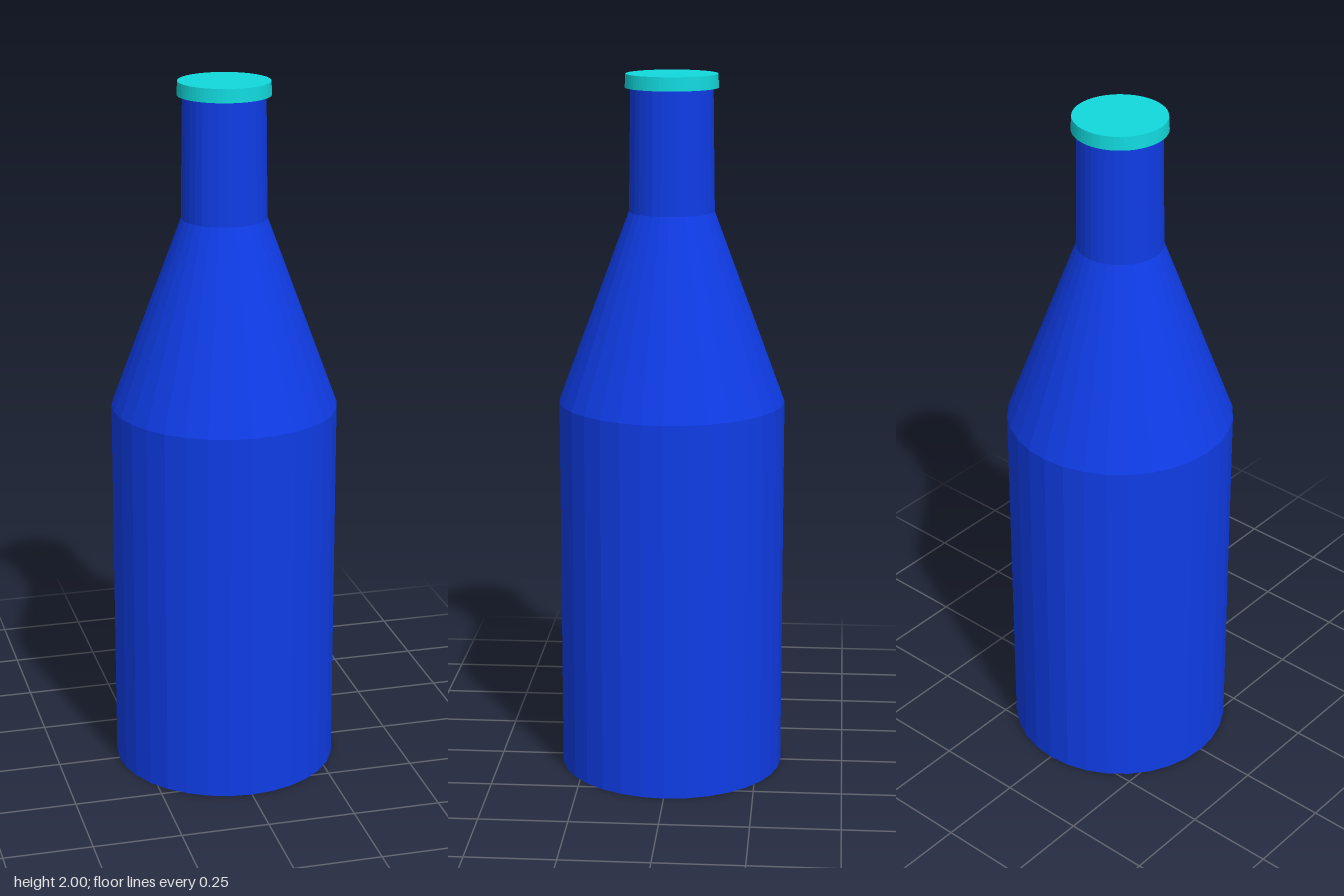
import * as THREE from 'three';

// Turn a profile of [radius, height] points, bottom to top, into a faceted solid
function turned(name, profile, sides, material) {
  const points = profile.map(([r, y]) => new THREE.Vector2(r, y));
  const geometry = new THREE.LatheGeometry(points, sides).toNonIndexed();
  geometry.computeVertexNormals();
  const mesh = new THREE.Mesh(geometry, material);
  mesh.name = name;
  return mesh;
}

export function createModel() {
  const glass = new THREE.MeshStandardMaterial({ color: 0x0f3ce6 });
  glass.name = 'blue glass';
  const capPaint = new THREE.MeshStandardMaterial({ color: 0x11d8dc });
  capPaint.name = 'turquoise cap';

  const bottle = new THREE.Group();
  bottle.name = 'bottle';

  // Straight body, sloping shoulder and slightly tapered neck
  bottle.add(turned('glassBody', [
    [0, 0], [0.32, 0], [0.32, 1.08], [0.12, 1.62], [0.115, 1.97], [0, 1.97],
  ], 32, glass));

  // Flat cap overhanging the neck
  bottle.add(turned('cap', [
    [0, 1.962], [0.13, 1.962], [0.128, 2], [0, 2],
  ], 64, capPaint));

  return bottle;
}
